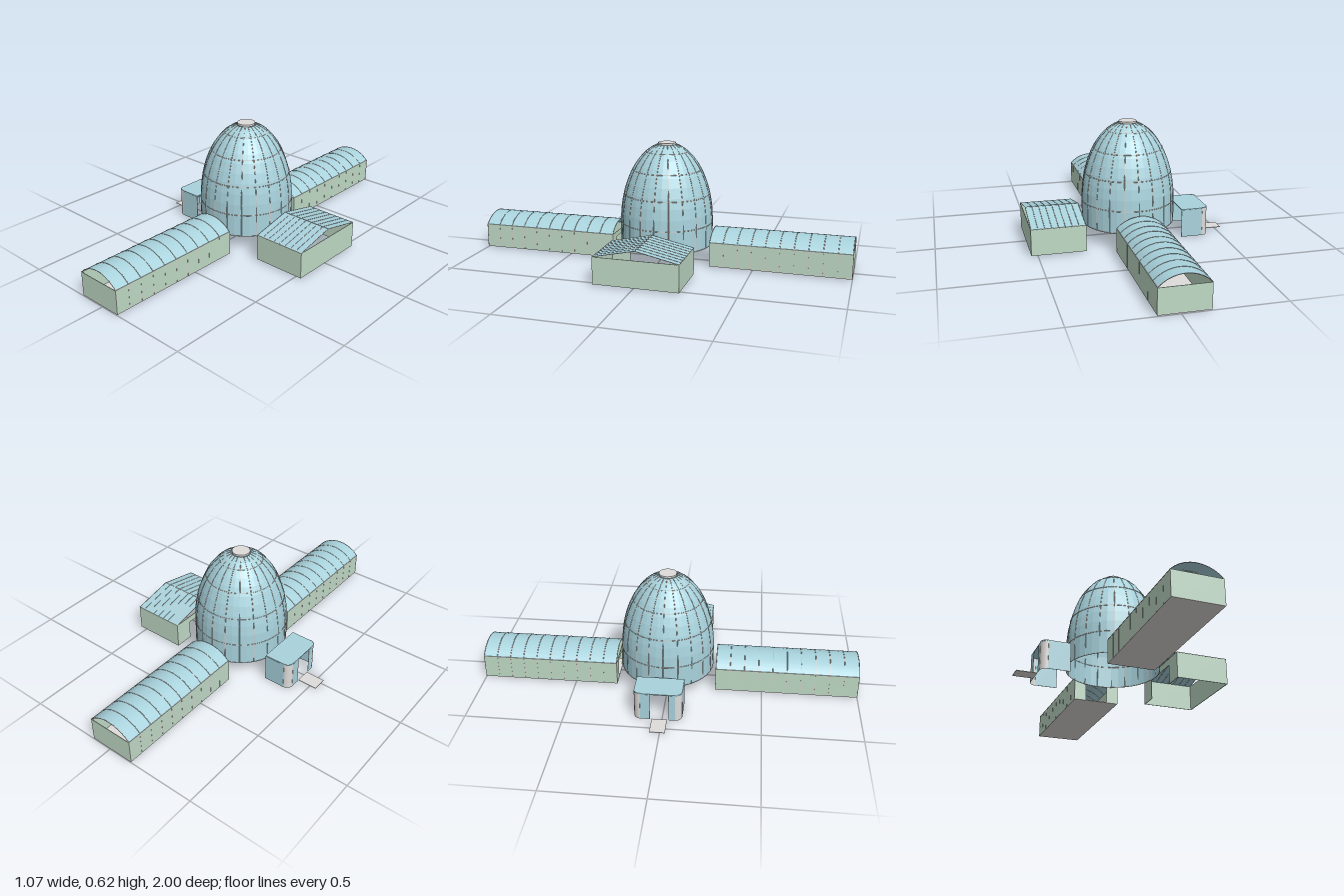
import * as THREE from 'three';

const material = (name, color, double) => {
  const m = new THREE.MeshStandardMaterial({ color });
  m.name = name;
  if (double) m.side = THREE.DoubleSide;
  return m;
};

export function createModel() {
  const glass = material('blueGlass', 0xa9d3dd, true);
  const panel = material('greenPanel', 0xc0dac6, true);
  const frame = material('paleFrame', 0xd8cfca);
  const metal = material('lightMetal', 0xdedcda, true);

  const model = new THREE.Group();
  const CX = -0.016, CZ = -0.012;

  const group = (name, parent = model) => {
    const g = new THREE.Group();
    g.name = name;
    parent.add(g);
    return g;
  };
  const add = (parent, name, geo, mat) => {
    const m = new THREE.Mesh(geo, mat);
    m.name = name;
    parent.add(m);
    return m;
  };
  const facet = (geo) => {
    const g = geo.toNonIndexed();
    g.computeVertexNormals();
    return g;
  };
  // box given by its minimum and maximum corners
  const box = (parent, name, a, b, mat) => {
    const m = add(parent, name, new THREE.BoxGeometry(b[0] - a[0], b[1] - a[1], b[2] - a[2]), mat);
    m.position.set((a[0] + b[0]) / 2, (a[1] + b[1]) / 2, (a[2] + b[2]) / 2);
    return m;
  };
  // thin bar following straight segments between points
  const bar = (parent, name, pts, r = 0.0018) => {
    const path = new THREE.CurvePath();
    for (let i = 1; i < pts.length; i++) path.add(new THREE.LineCurve3(pts[i - 1], pts[i]));
    return add(parent, name, new THREE.TubeGeometry(path, (pts.length - 1) * 2, r, 4), frame);
  };
  const V = (x, y, z) => new THREE.Vector3(x, y, z);

  // ---- Dome: faceted ellipsoid on a drum ----
  const dome = group('dome');
  dome.position.set(CX, 0, CZ);
  const SIDES = 40, RIBS = 20, R = 0.245, SPRING = 0.203, RISE = 0.42;
  const radiusAt = (y) => R * Math.sqrt(1 - ((y - SPRING) / RISE) ** 2);
  const profile = [new THREE.Vector2(R, 0.083)];
  for (let i = 0; i <= 10; i++) {
    const a = (i / 10) * Math.asin(0.411 / RISE);
    profile.push(new THREE.Vector2(R * Math.cos(a), SPRING + RISE * Math.sin(a)));
  }
  add(dome, 'domeGlass', facet(new THREE.LatheGeometry(profile, SIDES)), glass);
  for (let i = 0; i < RIBS; i++) {
    const rib = bar(dome, 'domeRib', profile.map((p) => V(0, p.y, p.x)));
    rib.rotation.y = (i / RIBS) * Math.PI * 2;
  }
  for (const y of [0.085, 0.203, 0.354, 0.483, 0.577]) {
    const r = y < SPRING ? R : radiusAt(y);
    const ring = add(dome, 'domeRing', new THREE.TorusGeometry(r, 0.0018, 4, SIDES), frame);
    ring.rotation.x = Math.PI / 2;
    ring.position.y = y;
  }
  const cap = add(dome, 'domeCap', new THREE.CylinderGeometry(0.047, 0.047, 0.01, RIBS), metal);
  cap.position.y = 0.619;

  // wall across x or z with a central doorway
  const T = 0.003;
  const doorWall = (parent, axis, at, lo, hi, top, dLo, dHi, dTop) => {
    const piece = (u0, u1, y0, y1) => axis === 'x'
      ? box(parent, 'doorWall', [u0, y0, at], [u1, y1, at + T], panel)
      : box(parent, 'doorWall', [at, y0, u0], [at + T, y1, u1], panel);
    piece(lo, dLo, 0.006, top);
    piece(dHi, hi, 0.006, top);
    piece(dLo, dHi, dTop, top);
  };

  // ---- Two long vaulted wings ----
  const X0 = -0.139, X1 = 0.107, WALL = 0.131, CROWN = 0.184;
  const half = (X1 - X0) / 2, rise = CROWN - WALL;
  const arcR = (half * half + rise * rise) / (2 * rise);
  const sweep = Math.asin(half / arcR);
  const arc = [];
  for (let i = 0; i <= 10; i++) {
    const a = -sweep + (i / 10) * 2 * sweep;
    arc.push([CX + arcR * Math.sin(a), CROWN - arcR + arcR * Math.cos(a)]);
  }
  const wing = (name, inner, outer) => {
    const g = group(name);
    const z0 = Math.min(inner, outer), z1 = Math.max(inner, outer);
    box(g, 'wingFloor', [X0, 0.004, z0], [X1, 0.008, z1], metal);
    box(g, 'sideWall', [X0, 0.006, z0], [X0 + T, WALL, z1], panel);
    box(g, 'sideWall', [X1 - T, 0.006, z0], [X1, WALL, z1], panel);
    const endZ = outer > 0 ? outer - T : outer;
    box(g, 'endWall', [X0, 0.006, endZ], [X1, WALL, endZ + T], panel);
    doorWall(g, 'x', inner > 0 ? inner : inner - T, X0, X1, WALL, CX - 0.06, CX + 0.06, 0.105);
    // open-ended curved glass roof
    const pos = [], idx = [];
    arc.forEach(([x, y]) => pos.push(x, y, z0, x, y, z1));
    for (let i = 0; i < arc.length - 1; i++) {
      const k = i * 2;
      idx.push(k, k + 1, k + 2, k + 1, k + 3, k + 2);
    }
    const roof = new THREE.BufferGeometry();
    roof.setAttribute('position', new THREE.Float32BufferAttribute(pos, 3));
    roof.setIndex(idx);
    roof.computeVertexNormals();
    add(g, 'vaultGlass', roof, glass);
    // arches, wall posts and eaves
    for (let i = 0; i <= 10; i++) {
      const z = z0 + 0.0015 + (i / 10) * (z1 - z0 - 0.003);
      bar(g, 'roofArch', arc.map(([x, y]) => V(x, y, z)));
      for (const x of [X0, X1]) box(g, 'wallPost', [x - 0.0008, 0.006, z - 0.0015], [x + 0.0008, WALL, z + 0.0015], frame);
    }
    for (const x of [X0, X1]) box(g, 'eave', [x - 0.001, WALL - 0.0015, z0], [x + 0.001, WALL + 0.0015, z1], frame);
  };
  wing('frontWing', 0.253, 1);
  wing('backWing', -0.274, -1);

  // ---- Gabled greenhouse, open gables and no floor ----
  const house = group('gabledHouse');
  const HX0 = 0.252, HX1 = 0.534, HZ0 = -0.23, HZ1 = 0.206, EAVE = 0.145, RIDGE = 0.192;
  box(house, 'houseWall', [HX0, 0.006, HZ0], [HX1, EAVE, HZ0 + T], panel);
  box(house, 'houseWall', [HX0, 0.006, HZ1 - T], [HX1, EAVE, HZ1], panel);
  box(house, 'houseWall', [HX1 - T, 0.006, HZ0], [HX1, EAVE, HZ1], panel);
  doorWall(house, 'z', HX0, HZ0, HZ1, EAVE, -0.13, 0.105, 0.11);
  for (const z of [HZ0, HZ1]) {
    const run = z - CZ, up = RIDGE - EAVE;
    const slope = add(house, 'roofSlope', new THREE.PlaneGeometry(HX1 - HX0, Math.hypot(run, up)), glass);
    slope.position.set((HX0 + HX1) / 2, (EAVE + RIDGE) / 2, (z + CZ) / 2);
    slope.rotation.x = -Math.PI / 2 + Math.atan(up / run);
    for (let i = 0; i <= 8; i++) {
      const x = HX0 + 0.002 + (i / 8) * (HX1 - HX0 - 0.004);
      bar(house, 'rafter', [V(x, EAVE, z), V(x, RIDGE, CZ)], 0.0015);
    }
    bar(house, 'houseEave', [V(HX0, EAVE, z), V(HX1, EAVE, z)], 0.0012);
  }
  bar(house, 'ridge', [V(HX0, RIDGE, CZ), V(HX1, RIDGE, CZ)], 0.0015);

  // ---- Entrance porch with rounded outer corners ----
  const porch = group('entrancePorch');
  const PX0 = -0.428, PX1 = -0.28, PZ0 = -0.144, PZ1 = 0.1, PR = 0.034, PH = 0.15;
  for (const [z, s] of [[PZ0, 1], [PZ1, -1]]) {
    box(porch, 'porchSide', [PX0 + PR, 0.001, z - 0.001], [PX1, PH, z + 0.001], glass);
    const door = s > 0 ? -0.062 : 0.034;
    const a = z + s * PR;
    box(porch, 'porchFront', [PX0 - 0.001, 0.001, Math.min(a, door)], [PX0 + 0.001, PH, Math.max(a, door)], glass);
    const corner = add(porch, 'porchCorner', new THREE.CylinderGeometry(
      PR, PR, PH + 0.006, 6, 1, true, s > 0 ? Math.PI : Math.PI * 1.5, Math.PI / 2), metal);
    corner.position.set(PX0 + PR, (PH + 0.006) / 2, a);
    for (const p of [[PX0 + PR, z], [PX0, a], [PX0, door]]) {
      bar(porch, 'porchPost', [V(p[0], 0.001, p[1]), V(p[0], PH, p[1])], 0.0012);
    }
  }
  // roof plate follows the rounded outline
  const outline = new THREE.Shape();
  outline.moveTo(PX1, -PZ1);
  outline.lineTo(PX1, -PZ0);
  outline.lineTo(PX0 + PR, -PZ0);
  outline.quadraticCurveTo(PX0, -PZ0, PX0, -PZ0 - PR);
  outline.lineTo(PX0, -PZ1 + PR);
  outline.quadraticCurveTo(PX0, -PZ1, PX0 + PR, -PZ1);
  const roofGeo = new THREE.ExtrudeGeometry(outline, { depth: 0.005, bevelEnabled: false, curveSegments: 6 });
  const porchRoof = add(porch, 'porchRoof', roofGeo, glass);
  porchRoof.rotation.x = -Math.PI / 2;
  porchRoof.position.y = PH - 0.001;
  box(porch, 'doorstep', [-0.535, 0, -0.052], [PX0, 0.003, 0.026], metal);

  return model;
}
